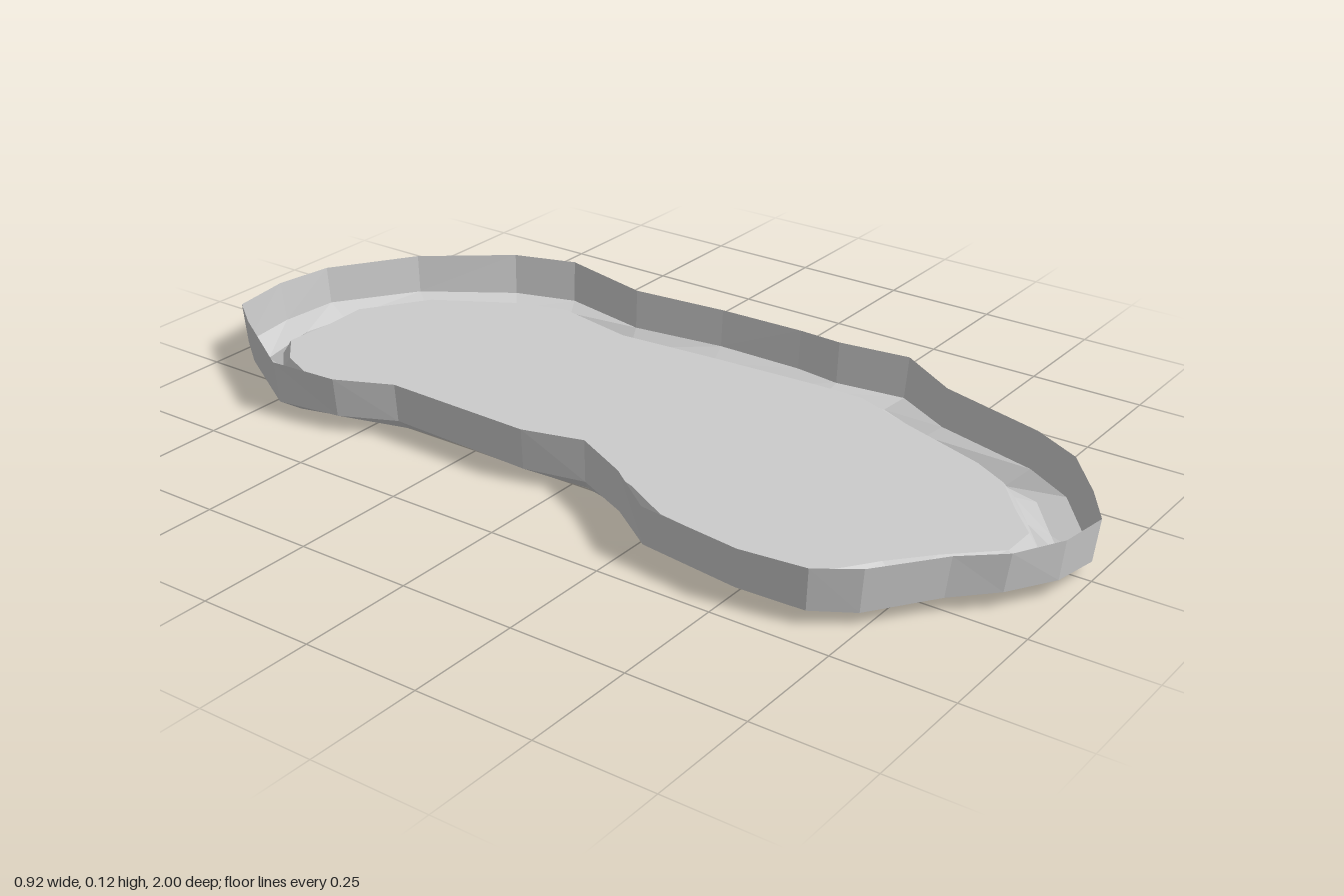
import * as THREE from 'three';

// Stations around the basin: rim x, rim z, floor edge x, floor edge z
const STATIONS = [
  [-0.04, -1.0, -0.03, -0.86], [0.09, -0.98, 0.07, -0.865], [0.27, -0.86, 0.21, -0.77],
  [0.41, -0.68, 0.31, -0.6], [0.455, -0.54, 0.345, -0.48], [0.4, -0.32, 0.305, -0.29],
  [0.42, -0.1, 0.32, -0.08], [0.425, 0.1, 0.33, 0.1], [0.42, 0.2, 0.335, 0.2],
  [0.44, 0.36, 0.335, 0.31], [0.35, 0.5, 0.28, 0.45], [0.28, 0.74, 0.21, 0.65],
  [0.22, 0.85, 0.165, 0.73], [0.11, 0.94, 0.08, 0.8], [0.02, 1.0, 0.01, 0.865],
  [-0.09, 0.985, -0.07, 0.865], [-0.19, 0.93, -0.16, 0.77], [-0.26, 0.85, -0.24, 0.7],
  [-0.39, 0.75, -0.33, 0.635], [-0.445, 0.67, -0.36, 0.58], [-0.46, 0.53, -0.36, 0.45],
  [-0.43, 0.3, -0.33, 0.27], [-0.34, 0.18, -0.27, 0.16], [-0.275, 0.05, -0.22, 0.02],
  [-0.31, -0.08, -0.23, -0.1], [-0.3, -0.42, -0.235, -0.4], [-0.355, -0.54, -0.27, -0.52],
  [-0.365, -0.7, -0.3, -0.62], [-0.24, -0.9, -0.22, -0.8], [-0.18, -0.98, -0.15, -0.865],
];
const RIM_Y = 0.12, FLOOR_Y = 0.052;
const DIPS = [0.016, 0.011, 0.019, 0.012, 0.018, 0.0]; // uneven underside heights

// Loop of points at a fraction t of the way from rim to floor edge
function loop(t, height) {
  return STATIONS.map(([ox, oz, ix, iz], i) => new THREE.Vector3(
    THREE.MathUtils.lerp(ox, ix, t), height(i), THREE.MathUtils.lerp(oz, iz, t)));
}

// Closed band of quads through successive loops, outward side to the front
function loft(loops) {
  const n = STATIONS.length, index = [];
  for (let k = 0; k < loops.length - 1; k++) {
    for (let i = 0; i < n; i++) {
      const j = (i + 1) % n;
      const a = k * n + i, b = k * n + j, c = a + n, d = b + n;
      index.push(a, b, c, b, d, c);
    }
  }
  const geometry = new THREE.BufferGeometry().setFromPoints(loops.flat());
  geometry.setIndex(index);
  const flat = geometry.toNonIndexed();
  flat.computeVertexNormals();
  return flat;
}

export function createModel() {
  const group = new THREE.Group();
  group.name = 'basin';
  const material = new THREE.MeshStandardMaterial({
    color: 0xcccccc, flatShading: true, side: THREE.DoubleSide,
  });
  const add = (name, geometry) => {
    const mesh = new THREE.Mesh(geometry, material);
    mesh.name = name;
    group.add(mesh);
    return mesh;
  };

  const rim = loop(0, () => RIM_Y);
  const wallFoot = loop(0.08, (i) => 0.032 + 0.005 * Math.sin(i * 1.3));
  const trough = loop(0.5, (i) => DIPS[i % DIPS.length]);
  const troughInner = loop(0.82, (i) => 0.022 + 0.004 * Math.sin(i * 2.1));
  const floorEdge = loop(1, () => FLOOR_Y);

  // Thin upright wall
  add('wall', loft([rim, wallFoot]));

  // Uneven channel between wall and floor
  add('channel', loft([wallFoot, trough, troughInner, floorEdge]));

  // Raised flat floor
  const shape = new THREE.Shape(STATIONS.map(([, , x, z]) => new THREE.Vector2(x, -z)));
  const floor = add('floor', new THREE.ShapeGeometry(shape).rotateX(-Math.PI / 2));
  floor.position.y = FLOOR_Y;

  return group;
}
